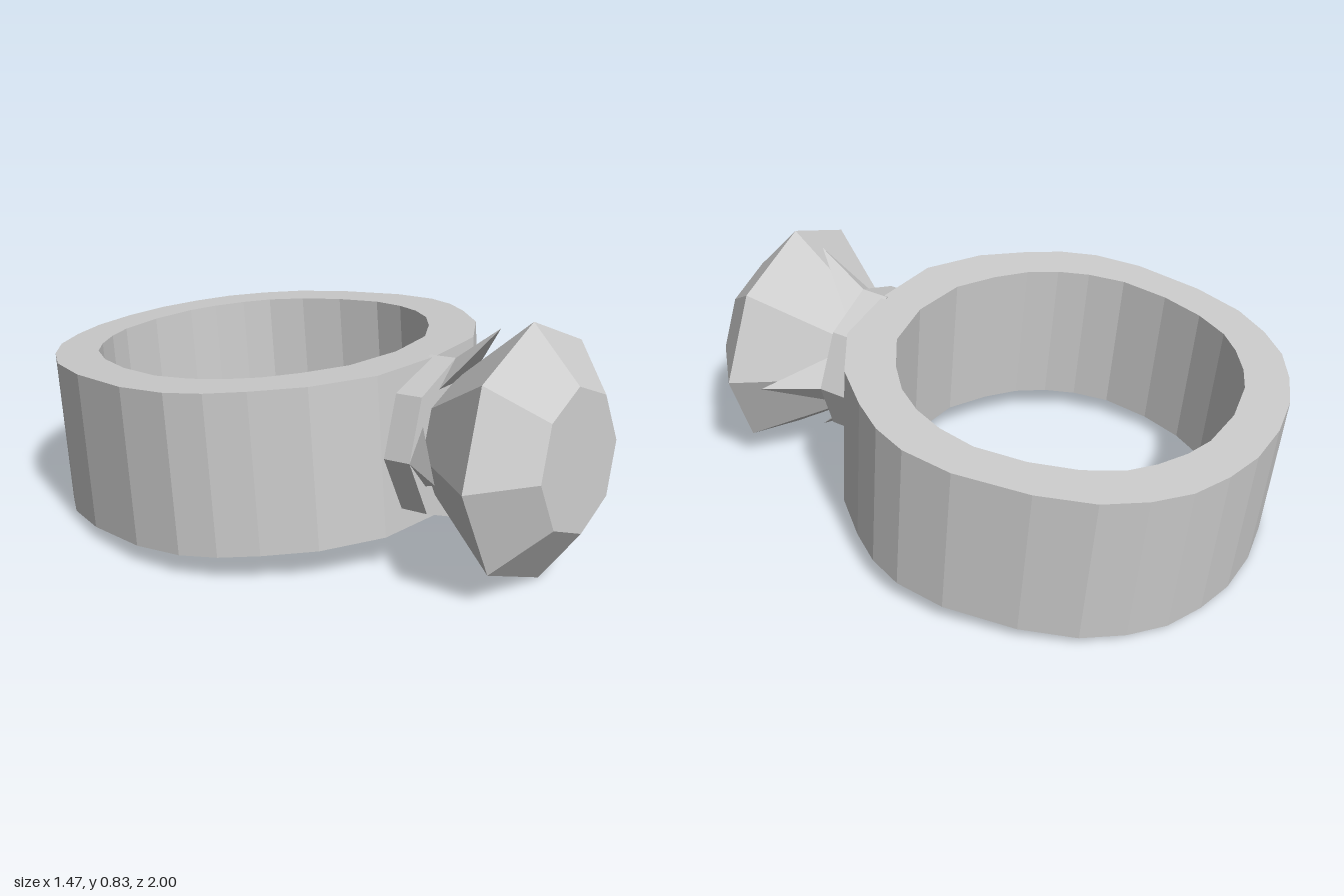
import * as THREE from 'three';

const silver = new THREE.MeshStandardMaterial({ color: 0xcccccc, flatShading: true });
silver.name = 'silver grey';

// Right half of the band's outer and inner outlines as [x, z], from back to front
const outerHalf = [
  [0, -0.72], [0.17, -0.705], [0.31, -0.662], [0.44, -0.598], [0.545, -0.503],
  [0.635, -0.38], [0.7, -0.2], [0.737, 0.045], [0.72, 0.22], [0.67, 0.34],
  [0.59, 0.45], [0.465, 0.585], [0.27, 0.7], [0, 0.728],
];
const innerHalf = [
  [0, -0.571], [0.17, -0.552], [0.27, -0.515], [0.37, -0.455], [0.45, -0.385],
  [0.52, -0.27], [0.57, -0.12], [0.59, 0.05], [0.565, 0.18], [0.52, 0.285],
  [0.45, 0.38], [0.35, 0.462], [0.21, 0.543], [0, 0.575],
];

// Closed clockwise outline from a half: the other side is the mirrored half, reversed
function mirrored(half) {
  const otherSide = half.slice(1, -1).reverse().map(([x, z]) => [-x, z]);
  return [...half, ...otherSide].map(([x, z]) => new THREE.Vector2(x, -z));
}

// Square-edged hoop, extruded along the finger axis; the hole winds the other way
function makeBand(height) {
  const shape = new THREE.Shape(mirrored(outerHalf));
  shape.holes.push(new THREE.Path(mirrored(innerHalf).reverse()));
  const geometry = new THREE.ExtrudeGeometry(shape, { depth: height, bevelEnabled: false });
  geometry.translate(0, 0, -height / 2).rotateX(-Math.PI / 2);
  const mesh = new THREE.Mesh(geometry, silver);
  mesh.name = 'band';
  return mesh;
}

// Eight-sided solid turned from a [radius, depth] profile and pointed forward
function makeFaceted(name, profile) {
  const points = profile.map(([r, d]) => new THREE.Vector2(r, d));
  const geometry = new THREE.LatheGeometry(points, 8).toNonIndexed();
  geometry.rotateX(Math.PI / 2);
  geometry.computeVertexNormals();
  const mesh = new THREE.Mesh(geometry, silver);
  mesh.name = name;
  return mesh;
}

// Pointed claw: a tetrahedron standing on one corner of the octagonal collar
function makeProng() {
  const corner = [0.27, 0, 0.805], tip = [0.385, 0, 0.978];
  const left = [0.19, 0.1, 0.805], right = [0.19, -0.1, 0.805];
  const faces = [
    [corner, left, tip],
    [corner, tip, right],
    [left, right, tip],
    [corner, right, left],
  ];
  const geometry = new THREE.BufferGeometry();
  geometry.setAttribute('position', new THREE.Float32BufferAttribute(faces.flat(2), 3));
  geometry.computeVertexNormals();
  return new THREE.Mesh(geometry, silver);
}

export function createModel() {
  const model = new THREE.Group();
  model.name = 'gemRing';

  // The whole ring leans back a little, resting on the gem and the rear of the band
  const ring = new THREE.Group();
  ring.name = 'tiltedRing';
  ring.position.set(0, 0.332, -0.26);
  ring.rotation.x = -0.08;
  model.add(ring);

  // Band, octagonal collar and cut stone
  ring.add(
    makeBand(0.535),
    makeFaceted('collar', [[0, 0.71], [0.272, 0.71], [0.272, 0.808], [0, 0.808]]),
    makeFaceted('gem', [[0, 0.79], [0.19, 0.79], [0.417, 1.093], [0.235, 1.245], [0, 1.245]]),
  );

  // Four claws around the stone
  for (let i = 0; i < 4; i++) {
    const prong = makeProng();
    prong.name = 'prong' + (i + 1);
    prong.rotation.z = (i * Math.PI) / 2;
    ring.add(prong);
  }
  return model;
}
